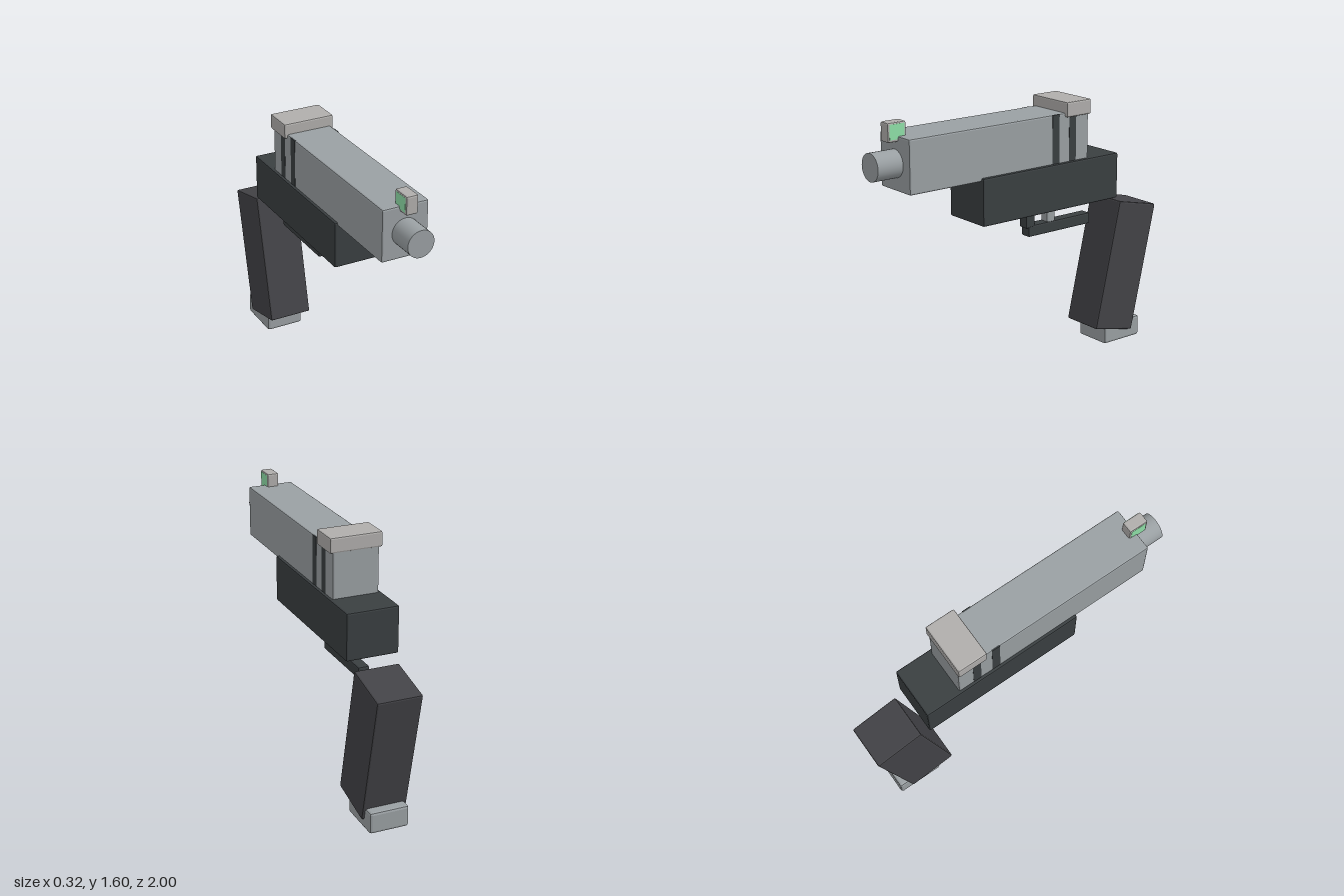
import * as THREE from 'three';
import { RoundedBoxGeometry } from 'three/addons/geometries/RoundedBoxGeometry.js';

const paint = (color) => new THREE.MeshStandardMaterial({ color, flatShading: true });

export function createModel() {
  const model = new THREE.Group();
  const steel = paint(0x9aa0a3);
  const lightSteel = paint(0xb0aeac);
  const dark = paint(0x3a3f41);
  const gripDark = paint(0x434347);
  const green = paint(0x8fe0a8);

  // Chamfered block centred on x, given by its half width and its y and z ranges
  function block(name, halfWidth, [y0, y1], [z0, z1], material, bevel = 0.01) {
    const size = [halfWidth * 2, y1 - y0, z1 - z0];
    const geometry = bevel
      ? new RoundedBoxGeometry(...size, 1, bevel)
      : new THREE.BoxGeometry(...size);
    const mesh = new THREE.Mesh(geometry, material);
    mesh.name = name;
    mesh.position.set(0, (y0 + y1) / 2, (z0 + z1) / 2);
    model.add(mesh);
    return mesh;
  }

  // Upper body
  block('slide', 0.14, [1.21, 1.52], [-0.43, 0.84], steel);
  block('frame', 0.158, [0.95, 1.23], [-0.655, 0.36], dark);

  // Dark bands wrapped around the rear of the slide
  for (const z of [-0.182, -0.308]) {
    block('slideBand', 0.141, [1.22, 1.519], [z - 0.026, z + 0.026], dark, 0);
  }

  // Sights, the front one with a green inlay showing on both sides
  block('rearSight', 0.158, [1.495, 1.585], [-0.435, -0.25], lightSteel);
  block('frontSight', 0.036, [1.49, 1.6], [0.785, 0.905], lightSteel);
  block('frontSightInlay', 0.037, [1.505, 1.59], [0.797, 0.893], green, 0);

  // Barrel end
  const barrel = new THREE.Mesh(
    new THREE.CylinderGeometry(0.08, 0.08, 0.2, 32).rotateX(Math.PI / 2),
    new THREE.MeshStandardMaterial({ color: 0x9aa0a3 })
  );
  barrel.name = 'barrel';
  barrel.position.set(0, 1.365, 0.9);
  model.add(barrel);

  // Trigger and its guard
  block('guardPost', 0.034, [0.835, 0.957], [-0.115, -0.05], dark);
  block('guardBar', 0.035, [0.78, 0.85], [-0.545, -0.068], dark);
  block('trigger', 0.03, [0.835, 0.957], [-0.275, -0.212], steel);

  // Leaning grip with a base plate
  const grip = block('grip', 0.136, [0.08, 0.89], [-0.915, -0.61], gripDark);
  grip.rotation.x = -0.222;
  block('basePlate', 0.12, [0, 0.13], [-0.9, -0.612], steel, 0.015);

  return model;
}
